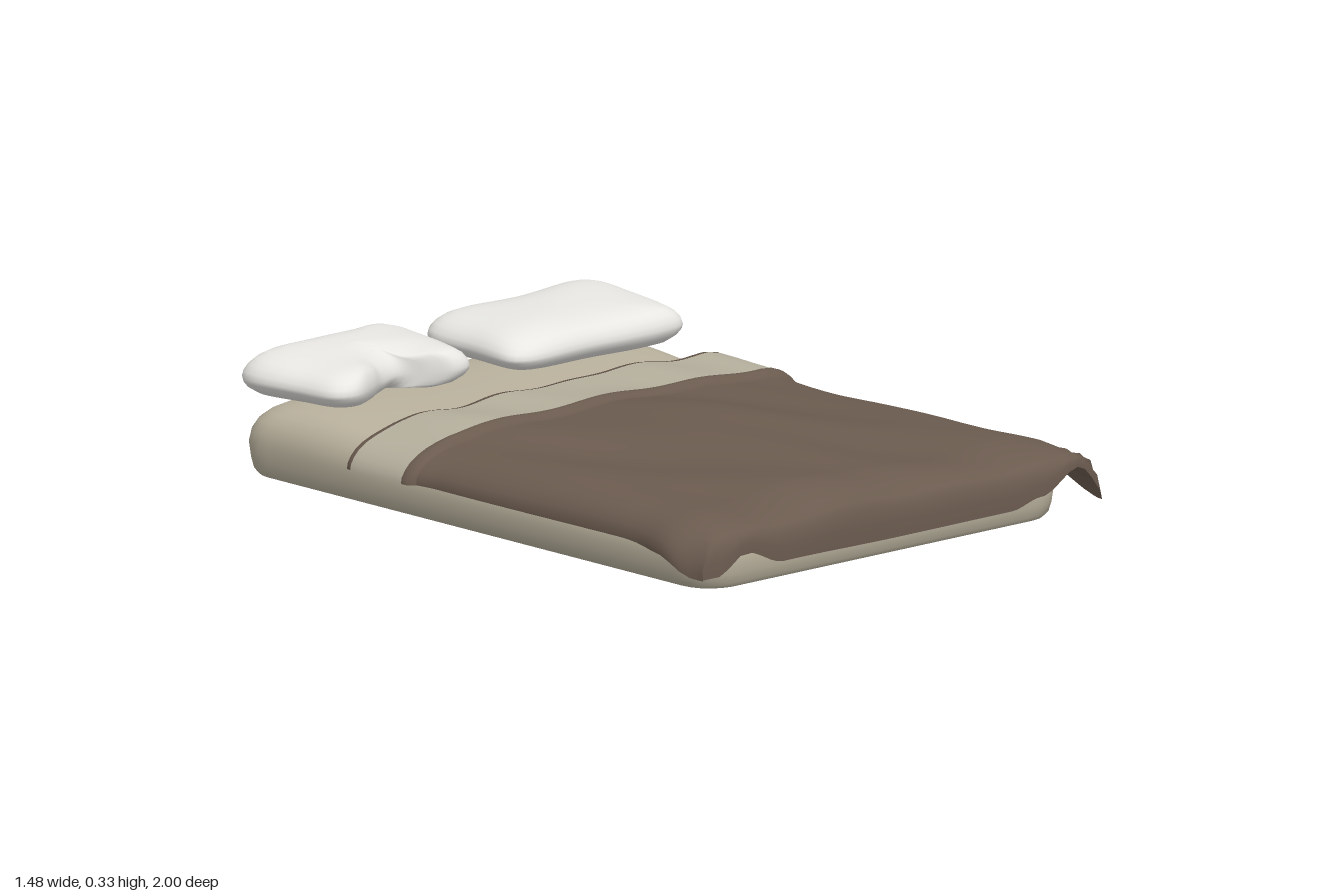
import * as THREE from 'three';

const mat = (name, color, side = THREE.FrontSide) => {
  const m = new THREE.MeshStandardMaterial({ color, side });
  m.name = name;
  return m;
};

// smooth lookup through [position, value] pairs
function lerpTable(table, v) {
  if (v <= table[0][0]) return table[0][1];
  for (let i = 1; i < table.length; i++) {
    const [a, ya] = table[i - 1], [b, yb] = table[i];
    if (v <= b) return ya + (yb - ya) * THREE.MathUtils.smoothstep(v, a, b);
  }
  return table[table.length - 1][1];
}

// smooth mesh from a grid of points; closed joins the last column to the first
function gridGeometry(rows, closed) {
  const n = rows[0].length, index = [];
  for (let j = 0; j < rows.length - 1; j++) {
    for (let i = 0; i < (closed ? n : n - 1); i++) {
      const k = (i + 1) % n;
      const a = j * n + i, b = j * n + k, c = a + n, d = b + n;
      index.push(a, c, b, b, c, d);
    }
  }
  const g = new THREE.BufferGeometry();
  g.setAttribute('position', new THREE.Float32BufferAttribute(rows.flat(2), 3));
  g.setIndex(index);
  g.computeVertexNormals();
  return g;
}

function addMesh(parent, name, geometry, material) {
  const m = new THREE.Mesh(geometry, material);
  m.name = name;
  parent.add(m);
}

// top height of the duvet, with a soft central mound and folds
function duvetTop(x, z) {
  return 0.203 + 0.034 * Math.exp(-(x * x) / 0.07 - (z - 0.15) ** 2 / 0.3)
    + 0.006 * Math.sin(9 * x + 4 * z) + 0.006 * Math.sin(7 * z - 6 * x + 1)
    + 0.004 * Math.sin(17 * x - 9 * z)
    + Math.exp(-(((z + 0.43) / 0.14) ** 2)) * (0.016 * Math.exp(-(x * x) / 0.1) - 0.004 + 0.004 * Math.sin(24 * x));
}

const frontHem = [[-0.74, 0.05], [-0.66, 0.055], [-0.57, 0.112], [-0.43, 0.066], [0, 0.058],
  [0.4, 0.065], [0.5, 0.09], [0.62, 0.155], [0.73, 0.06]];
const leftHem = [[-0.43, 0.056], [0.6, 0.056], [0.72, 0.07], [0.8, 0.098], [0.88, 0.06], [0.97, 0.05]];
const rightHem = [[-0.43, 0.115], [0.6, 0.11], [0.8, 0.1], [0.95, 0.05]];
const halfWidth = [[-0.2, 0.722], [-0.1, 0.71], [0.65, 0.695], [0.85, 0.73], [0.97, 0.705]];
const frontOut = [[-0.74, -0.03], [-0.57, 0], [0, -0.018], [0.4, 0], [0.66, 0.022], [0.73, 0.015]];

// [x share, drop] across the bed: short flared fall on the right, long sloping fall on the left
const rightFall = [[0.84, 0.05], [0.89, 0.14], [0.93, 0.26], [0.965, 0.42], [0.988, 0.62], [1, 0.82], [1, 1]];
const leftFall = [[0.83, 0.03], [0.87, 0.1], [0.905, 0.22], [0.94, 0.4], [0.97, 0.62], [0.99, 0.82], [1, 1]];
const across = rightFall.map(([x, w]) => [-x, w]).reverse();
for (let i = -24; i <= 24; i++) across.push([i / 24 * 0.78, 0]);
across.push(...leftFall);

// cloth draped over the bed; rows are [z, front drop, outward offset]
function drape(rows) {
  return gridGeometry(rows.map(([z, wz, off]) => across.map(([u, wx]) => {
    const half = lerpTable(halfWidth, z);
    const x = u * (half + off * wx) + 0.004;
    const w = Math.max(wx, wz);
    const hem = wx >= wz ? lerpTable(u > 0 ? leftHem : rightHem, z) : lerpTable(frontHem, x);
    const top = duvetTop(x, z) + off * (1 - w);
    const out = lerpTable(frontOut, x) * THREE.MathUtils.smoothstep(z, 0.8, 0.97);
    return [x, top + (hem - top) * w, z + out];
  })), false);
}

// closed cushion from an outline [x, z] scaled about a centre; profile is [scale x, scale z, y]
function cushion(outline, cx, cz, profile, shape) {
  return gridGeometry(profile.map(([sx, sz, y]) => outline.map(([px, pz]) => {
    const x = cx + (px - cx) * sx, z = cz + (pz - cz) * sz;
    return [x, shape(x, z, y), z];
  })), true);
}

// pillow; pinch lowers the top around a point [x, z, amount]
function pillow(points, cx, cz, tilt, pinch) {
  const curve = new THREE.CatmullRomCurve3(
    points.map(([x, z]) => new THREE.Vector3(x, 0, z)), true, 'centripetal');
  const outline = curve.getSpacedPoints(96).slice(0, 96).map(p => [p.x, p.z]);
  const profile = [[0, 0.2], [0.5, 0.2], [0.75, 0.204], [0.87, 0.214], [0.95, 0.23], [0.99, 0.246],
    [1, 0.258], [0.985, 0.274], [0.94, 0.291], [0.87, 0.305], [0.77, 0.315], [0.6, 0.322],
    [0.4, 0.325], [0.2, 0.325], [0, 0.325]].map(([s, y]) => [s, s, y]);
  const [px, pz, amount] = pinch;
  return cushion(outline, cx, cz, profile, (x, z, y) => {
    const dip = amount * Math.exp(-((x - px) ** 2) / 0.012 - (z - pz) ** 2 / 0.004);
    return y + (y - 0.2) / 0.125 * (tilt * (x - cx) - 0.045 * (z - cz) - dip
      + 0.003 * Math.sin(16 * z + 5 * x) + 0.003 * Math.sin(11 * x));
  });
}

export function createModel() {
  const bed = new THREE.Group();
  bed.name = 'bedding';
  const sheet = mat('beige sheet', 0xb9b19d);
  const lining = mat('duvet lining', 0xb4ae9c, THREE.DoubleSide);
  const brown = mat('brown duvet', 0x6b5b4f, THREE.DoubleSide);
  const white = mat('white pillow', 0xebeae6);

  // mattress: rounded rectangle rings, sunk a little under the duvet
  const A = 0.658, B = 0.937, R = 0.1, zc = -0.023;
  const s = new THREE.Shape();
  s.moveTo(A, 0);
  s.absarc(A - R, B - R, R, 0, Math.PI / 2);
  s.absarc(-A + R, B - R, R, Math.PI / 2, Math.PI);
  s.absarc(-A + R, -B + R, R, Math.PI, Math.PI * 1.5);
  s.absarc(A - R, -B + R, R, Math.PI * 1.5, Math.PI * 2);
  s.lineTo(A, 0);
  const outline = s.getSpacedPoints(180).slice(0, 180).map(p => [p.x + 0.003, p.y + zc]);
  const rings = [[0.02, 0], [0.02, 0], [0.01, 0.015], [0.004, 0.045], [0, 0.085], [0.006, 0.12],
    [0.02, 0.148], [0.042, 0.172], [0.072, 0.187], [0.11, 0.195], [0.17, 0.199], [0.26, 0.2],
    [0.4, 0.2], [0.55, 0.2]].map(([i, y]) => [(A - i) / A, (B - i) / B, y]);
  const profile = [[0, 0, 0], ...rings, [0, 0, 0.2]];
  addMesh(bed, 'mattress', cushion(outline, 0.003, zc, profile, (x, z, y) => {
    const sink = 1 - 0.13 * THREE.MathUtils.smoothstep(z, -0.75, -0.3);
    return y * sink + (y > 0.17 ? 0.003 * Math.sin(12 * x + 8 * z) : 0);
  }), sheet);

  // duvet with hanging sides and front
  const rows = [];
  for (let i = 0; i <= 40; i++) rows.push([-0.42 + 1.22 * i / 40, 0, 0]);
  rows.push([0.85, 0.04, 0], [0.89, 0.1, 0], [0.925, 0.18, 0], [0.952, 0.28, 0], [0.97, 0.42, 0],
    [0.975, 0.7, 0], [0.975, 1, 0]);
  addMesh(bed, 'duvet', drape(rows), brown);

  // turned-back cuff showing the lining, with a brown edge on either side
  const cuff = [];
  for (let i = 0; i <= 8; i++) cuff.push([-0.413 + 0.203 * i / 8, 0, 0.014]);
  addMesh(bed, 'cuff', drape(cuff), lining);
  addMesh(bed, 'cuffHeadEdge', drape([[-0.418, 0, -0.035], [-0.43, 0, -0.02], [-0.434, 0, 0],
    [-0.428, 0, 0.012], [-0.412, 0, 0.015]]), brown);
  addMesh(bed, 'cuffFootEdge', drape([[-0.212, 0, 0.014], [-0.203, 0, 0.018], [-0.188, 0, 0.017],
    [-0.175, 0, 0.009], [-0.168, 0, -0.003]]), brown);

  // pillows, the right one with a pinched front edge
  addMesh(bed, 'leftPillow', pillow([[0.665, -0.8], [0.655, -0.63], [0.63, -0.582], [0.57, -0.573],
    [0.35, -0.592], [0.09, -0.6], [0.045, -0.63], [0.042, -0.8], [0.052, -0.96], [0.1, -0.995],
    [0.35, -0.978], [0.6, -0.98], [0.655, -0.945]], 0.35, -0.79, 0.035, [0.1, -0.6, 0.01]), white);
  addMesh(bed, 'rightPillow', pillow([[-0.042, -0.85], [-0.065, -0.7], [-0.085, -0.645], [-0.14, -0.635],
    [-0.19, -0.67], [-0.26, -0.735], [-0.35, -0.7], [-0.43, -0.648], [-0.53, -0.606], [-0.585, -0.63],
    [-0.615, -0.75], [-0.645, -0.91], [-0.62, -0.962], [-0.4, -0.972], [-0.2, -0.985], [-0.08, -0.995],
    [-0.045, -0.96]], -0.33, -0.84, 0.01, [-0.3, -0.72, 0.04]), white);
  return bed;
}
